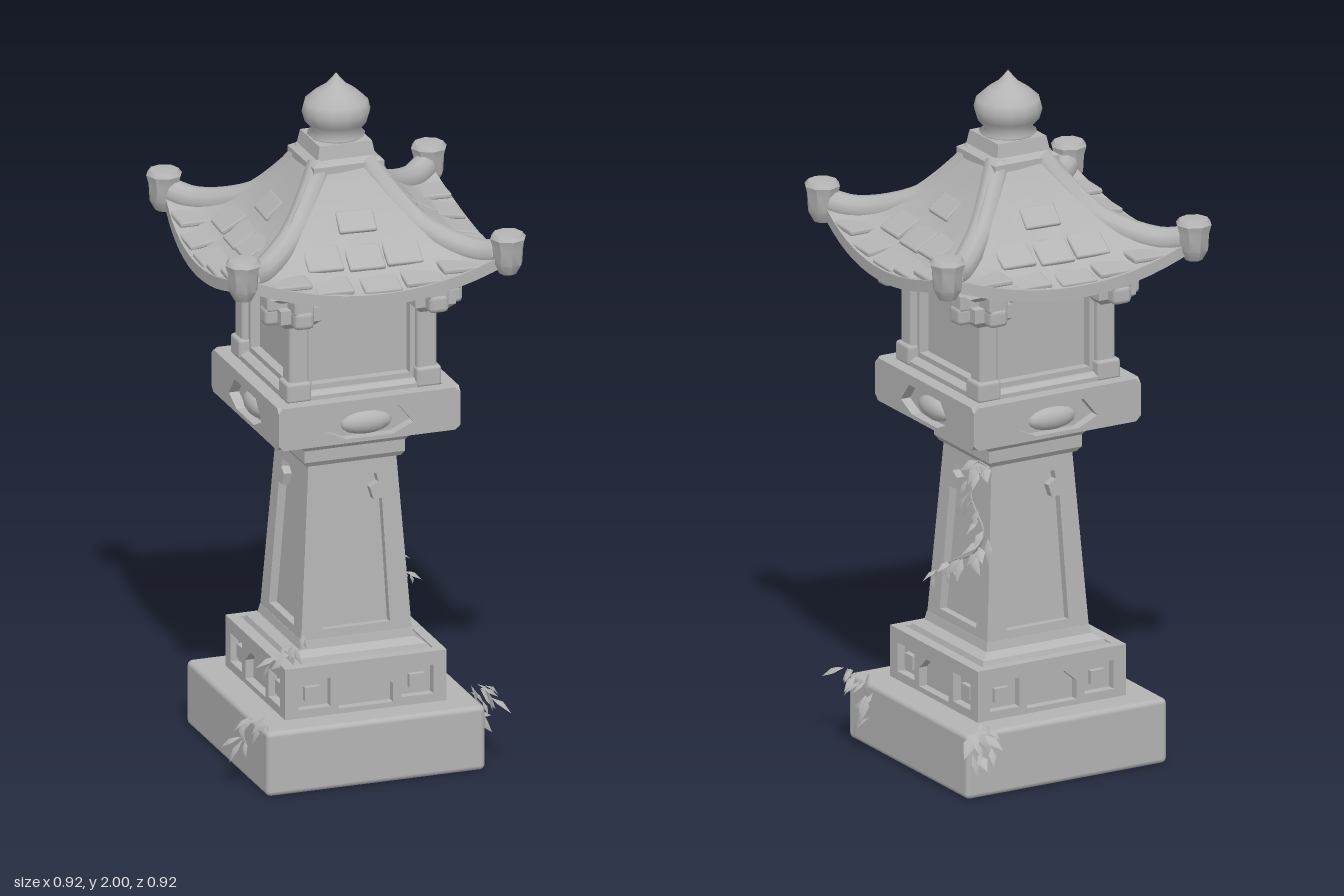
import * as THREE from 'three';
import { toCreasedNormals, mergeGeometries } from 'three/addons/utils/BufferGeometryUtils.js';
import { RoundedBoxGeometry } from 'three/addons/geometries/RoundedBoxGeometry.js';

const stone = new THREE.MeshStandardMaterial({ color: 0xb4b4b4, side: THREE.DoubleSide });
stone.name = 'stone';

let seed = 7;
const rand = (a, b) => {
  seed = (seed * 16807) % 2147483647;
  return a + (b - a) * seed / 2147483647;
};

function add(parent, name, geometry, x = 0, y = 0, z = 0) {
  const mesh = new THREE.Mesh(geometry, stone);
  mesh.name = name;
  mesh.position.set(x, y, z);
  parent.add(mesh);
  return mesh;
}

// Repeats a part on all four sides; fn builds the side facing +z
function around(parent, name, fn) {
  for (let k = 0; k < 4; k++) {
    const side = new THREE.Group();
    side.name = name;
    side.rotation.y = k * Math.PI / 2;
    fn(side, k);
    parent.add(side);
  }
}

// Square solid from [halfWidth, y] pairs, bottom to top
function squareProfile(pairs) {
  const pts = pairs.map(([h, y]) => new THREE.Vector2(h * Math.SQRT2, y));
  return toCreasedNormals(new THREE.LatheGeometry(pts, 4, Math.PI / 4), 0.3);
}

// Flat plate with holes, its outer face on z = 0
function plate(outline, holes, depth) {
  const v = (list) => list.map(([x, y]) => new THREE.Vector2(x, y));
  const shape = new THREE.Shape(v(outline));
  holes.forEach((h) => shape.holes.push(new THREE.Path(v(h))));
  return new THREE.ExtrudeGeometry(shape, { depth, bevelEnabled: false }).translate(0, 0, -depth);
}
const rect = (x0, y0, x1, y1) => [[x0, y0], [x1, y0], [x1, y1], [x0, y1]];

// Roof surface: t runs from cap to eave, s across one side
const roofHalf = (t, s) => (0.09 + 0.325 * t) * (1 - 0.07 * t * s * s);
const roofY = (t, s) => 1.765 - 0.28 * (1 - (1 - t) ** 1.8) + 0.075 * t * t * s * s;
function roofPoint(t, s) {
  const h = roofHalf(t, s);
  return new THREE.Vector3(s * roofHalf(t, 1), roofY(t, s), h);
}

function roofSide() {
  const cols = 16, rows = 12, pos = [], index = [];
  const put = (p, dy = 0) => pos.push(p.x, p.y + dy, p.z);
  for (let r = 0; r <= rows + 3; r++) {
    for (let c = 0; c <= cols; c++) {
      const s = c / cols * 2 - 1, t = Math.min(r / rows, 1);
      const p = roofPoint(t, s);
      const under = r - rows;
      if (under <= 0) put(p, t > 0.3 && t < 1 ? rand(-0.004, 0.004) * (1 - s * s) : 0);
      else if (under === 1) put(p, -0.035);
      else if (under === 2) put(p.multiply(new THREE.Vector3(0.88, 1, 0.88)), -0.04);
      else put(new THREE.Vector3(s * 0.17, 1.475, 0.17));
    }
  }
  const w = cols + 1;
  for (let r = 0; r < rows + 3; r++) {
    for (let c = 0; c < cols; c++) {
      const a = r * w + c;
      index.push(a, a + w, a + 1, a + 1, a + w, a + w + 1);
    }
  }
  const g = new THREE.BufferGeometry();
  g.setAttribute('position', new THREE.Float32BufferAttribute(pos, 3));
  g.setIndex(index);
  return toCreasedNormals(g, 0.6);
}

// Raised roof tile lying on the slope
function tile(parent, x, t, width, length) {
  const s = x / roofHalf(t, 1);
  const p = roofPoint(t, s), q = roofPoint(t + 0.05, s);
  const m = add(parent, 'roofTile', new RoundedBoxGeometry(width, 0.016, length, 1, 0.006), p.x, p.y, p.z);
  m.rotation.x = Math.atan2(p.y - q.y, q.z - p.z) - 0.1;
}

// Folded, pointed leaf hanging from the origin
function leafGeometry(size) {
  const g = new THREE.BufferGeometry();
  g.setAttribute('position', new THREE.Float32BufferAttribute(
    [0, 0, 0, -0.24, -0.4, 0.12, 0, -0.45, 0.26, 0.24, -0.4, 0.12, 0, -1, 0.2], 3));
  g.setIndex([0, 1, 2, 0, 2, 3, 1, 4, 2, 2, 4, 3]);
  g.computeVertexNormals();
  return g.scale(size, size, size);
}

// Leaves near given points, facing outward at the yaw angle
function foliage(parent, name, points, yaw, spread) {
  const dummy = new THREE.Object3D();
  dummy.rotation.order = 'YXZ';
  const leaves = points.map((p) => {
    dummy.position.set(p.x + rand(-spread, spread), p.y + rand(-spread, spread) * 0.5, p.z + rand(-spread, spread));
    dummy.rotation.set(rand(-0.9, 0), yaw + rand(-0.7, 0.7), rand(-0.9, 0.9));
    dummy.updateMatrix();
    return leafGeometry(rand(0.05, 0.08)).applyMatrix4(dummy.matrix);
  });
  add(parent, name, mergeGeometries(leaves));
}

function createIvy(root) {
  const V = (x, y, z) => new THREE.Vector3(x, y, z);
  const tufts = [
    [[0.32, 0.215, 0.29], [0.345, 0.2, 0.2], [0.335, 0.1, 0.18], Math.PI / 2, 14],
    [[-0.3, 0.21, 0.28], [-0.34, 0.2, 0.24], [-0.345, 0.14, 0.22], -Math.PI / 2, 12],
    [[-0.19, 0.43, 0.19], [-0.22, 0.38, 0.2], [-0.25, 0.36, 0.2], -Math.PI / 2, 9],
    [[0.26, 0.215, -0.29], [0.29, 0.2, -0.34], [0.3, 0.13, -0.345], Math.PI, 12],
  ];
  tufts.forEach(([a, b, c, yaw, n]) => {
    const curve = new THREE.CatmullRomCurve3([V(...a), V(...b), V(...c)]);
    foliage(root, 'ivyTuft', curve.getPoints(n - 1), yaw, 0.025);
  });
  // Climbing vine on the left face of the pillar
  const vine = new THREE.CatmullRomCurve3([V(0.15, 0.9, -0.14), V(0.145, 0.89, -0.07), V(0.15, 0.79, -0.05),
    V(0.155, 0.7, -0.13), V(0.16, 0.63, -0.08), V(0.165, 0.58, 0.02), V(0.17, 0.52, 0.11)]);
  add(root, 'vineStem', new THREE.TubeGeometry(vine, 40, 0.004, 4));
  foliage(root, 'vineLeaves', vine.getPoints(23), Math.PI / 2, 0.012);
}

export function createModel() {
  const root = new THREE.Group();
  root.name = 'stoneLantern';

  // Base and stepped plinth with sunken panels
  add(root, 'base', new RoundedBoxGeometry(0.65, 0.19, 0.65, 2, 0.015), 0, 0.095, 0);
  add(root, 'plinthCore', squareProfile([[0, 0.18], [0.215, 0.18], [0.215, 0.335], [0, 0.335]]));
  around(root, 'plinthSide', (g) => {
    const holes = [rect(-0.2, 0.215, -0.105, 0.3), rect(0.105, 0.215, 0.2, 0.3),
      [[-0.08, 0.205], [0.08, 0.205], [0.08, 0.26], [0.04, 0.295], [-0.04, 0.295], [-0.08, 0.26]]];
    add(g, 'plinthPanel', plate(rect(-0.24, 0.185, 0.24, 0.34), holes, 0.03), 0, 0, 0.24);
    for (const x of [-0.155, 0.155]) add(g, 'plinthBlock', new THREE.BoxGeometry(0.045, 0.04, 0.03), x, 0.255, 0.215);
  });

  // Tapered pillar with framed recesses
  add(root, 'pillarFoot', squareProfile([[0.2, 0.335], [0.195, 0.35], [0.17, 0.365], [0.165, 0.39], [0, 0.39]]));
  add(root, 'pillarCore', squareProfile([[0.14, 0.37], [0.105, 0.9]]));
  around(root, 'pillarSide', (g) => {
    const hole = [[-0.1, 0.04], [0.1, 0.04], [0.085, 0.4], [0.06, 0.4], [0.05, 0.435], [0.075, 0.45], [0.07, 0.475],
      [-0.07, 0.475], [-0.075, 0.45], [-0.05, 0.435], [-0.06, 0.4], [-0.085, 0.4]];
    const frame = plate([[-0.165, 0], [0.165, 0], [0.13, 0.53], [-0.13, 0.53]], [hole], 0.024);
    add(g, 'pillarFrame', frame, 0, 0.375, 0.165).rotation.x = -Math.atan(0.035 / 0.53);
  });
  add(root, 'capital', squareProfile([[0, 0.895], [0.14, 0.895], [0.15, 0.91], [0.15, 0.945], [0.165, 0.965],
    [0.165, 0.975], [0.19, 0.98], [0.19, 0.995], [0.24, 1.01], [0.24, 1.12], [0, 1.12]]));

  // Platform with carved flower recesses
  around(root, 'platformSide', (g) => {
    const hole = [[-0.13, 1.04], [-0.07, 1.012], [0.07, 1.012], [0.13, 1.04], [0.085, 1.095], [-0.085, 1.095]];
    const edge = [[-0.255, 1], [0.255, 1], [0.27, 1.015], [0.27, 1.11], [0.255, 1.125], [-0.255, 1.125], [-0.27, 1.11], [-0.27, 1.015]];
    add(g, 'platformFrame', plate(edge, [hole], 0.04), 0, 0, 0.27);
    const flower = new THREE.SphereGeometry(1, 12, 8).scale(0.08, 0.034, 0.03);
    add(g, 'carvedFlower', flower, 0, 1.045, 0.235);
  });

  // Lamp chamber: sill, recessed walls, posts and brackets
  add(root, 'chamberSill', squareProfile([[0.225, 1.11], [0.225, 1.135], [0.21, 1.145], [0, 1.145]]));
  add(root, 'chamberCore', squareProfile([[0.172, 1.12], [0.172, 1.475]]));
  around(root, 'chamberSide', (g) => {
    add(g, 'wallFrame', plate(rect(-0.2, 1.13, 0.2, 1.43), [rect(-0.145, 1.16, 0.145, 1.395)], 0.03), 0, 0, 0.2);
    add(g, 'cornerPost', new RoundedBoxGeometry(0.06, 0.27, 0.06, 1, 0.01), 0.19, 1.27, 0.19);
    add(g, 'postFoot', new RoundedBoxGeometry(0.075, 0.06, 0.075, 1, 0.01), 0.193, 1.15, 0.193);
    add(g, 'bracket', squareProfile([[0, 1.35], [0.04, 1.35], [0.06, 1.37], [0.06, 1.41], [0, 1.41]]), 0.2, 0, 0.2);
    add(g, 'beam', new RoundedBoxGeometry(0.58, 0.05, 0.06, 1, 0.008), 0, 1.425, 0.2);
    add(g, 'beamEnd', new RoundedBoxGeometry(0.06, 0.055, 0.06, 1, 0.015), 0.265, 1.385, 0.2);
    add(g, 'beamEnd', new RoundedBoxGeometry(0.06, 0.055, 0.06, 1, 0.015), -0.265, 1.385, 0.2);
  });
  add(root, 'eaveBoard', squareProfile([[0, 1.435], [0.26, 1.435], [0.3, 1.46], [0, 1.47]]));

  // Swept roof, turned slightly on its axis
  const roof = new THREE.Group();
  roof.name = 'roof';
  roof.rotation.y = -0.065;
  root.add(roof);
  around(roof, 'roofSide', (g) => {
    add(g, 'roofSlope', roofSide());
    tile(g, 0, 0.32, 0.11, 0.07);
    for (const x of [-0.12, 0, 0.11]) tile(g, x, 0.57, 0.105, 0.09);
    for (const x of [-0.24, -0.12, 0.02, 0.14, 0.25]) tile(g, x, 0.84, 0.11, 0.09);
    // Corner ridge with an upturned end
    const ridge = [[0.065, 1.755], [0.11, 1.68], [0.17, 1.605], [0.25, 1.56], [0.32, 1.545], [0.365, 1.555]]
      .map(([d, y]) => new THREE.Vector3(d, y, d));
    add(g, 'cornerRidge', new THREE.TubeGeometry(new THREE.CatmullRomCurve3(ridge), 20, 0.038, 10));
    const knob = [[0, 1.495], [0.025, 1.5], [0.042, 1.53], [0.045, 1.58], [0.052, 1.605], [0.042, 1.618], [0, 1.622]]
      .map(([r, y]) => new THREE.Vector2(r, y));
    add(g, 'ridgeEnd', toCreasedNormals(new THREE.LatheGeometry(knob, 8), 0.7), 0.385, 0, 0.385);
  });

  // Roof cap and bud finial
  add(root, 'roofCap', squareProfile([[0, 1.74], [0.105, 1.74], [0.105, 1.762], [0.085, 1.775], [0.078, 1.815], [0, 1.82]]));
  const bud = [[0.07, 1.81], [0.082, 1.822], [0.065, 1.834], [0.088, 1.86], [0.097, 1.89], [0.09, 1.918],
    [0.06, 1.945], [0.03, 1.965], [0.012, 1.985], [0, 2]].map(([r, y]) => new THREE.Vector2(r, y));
  add(root, 'finial', new THREE.LatheGeometry(bud, 14));

  createIvy(root);
  return root;
}
